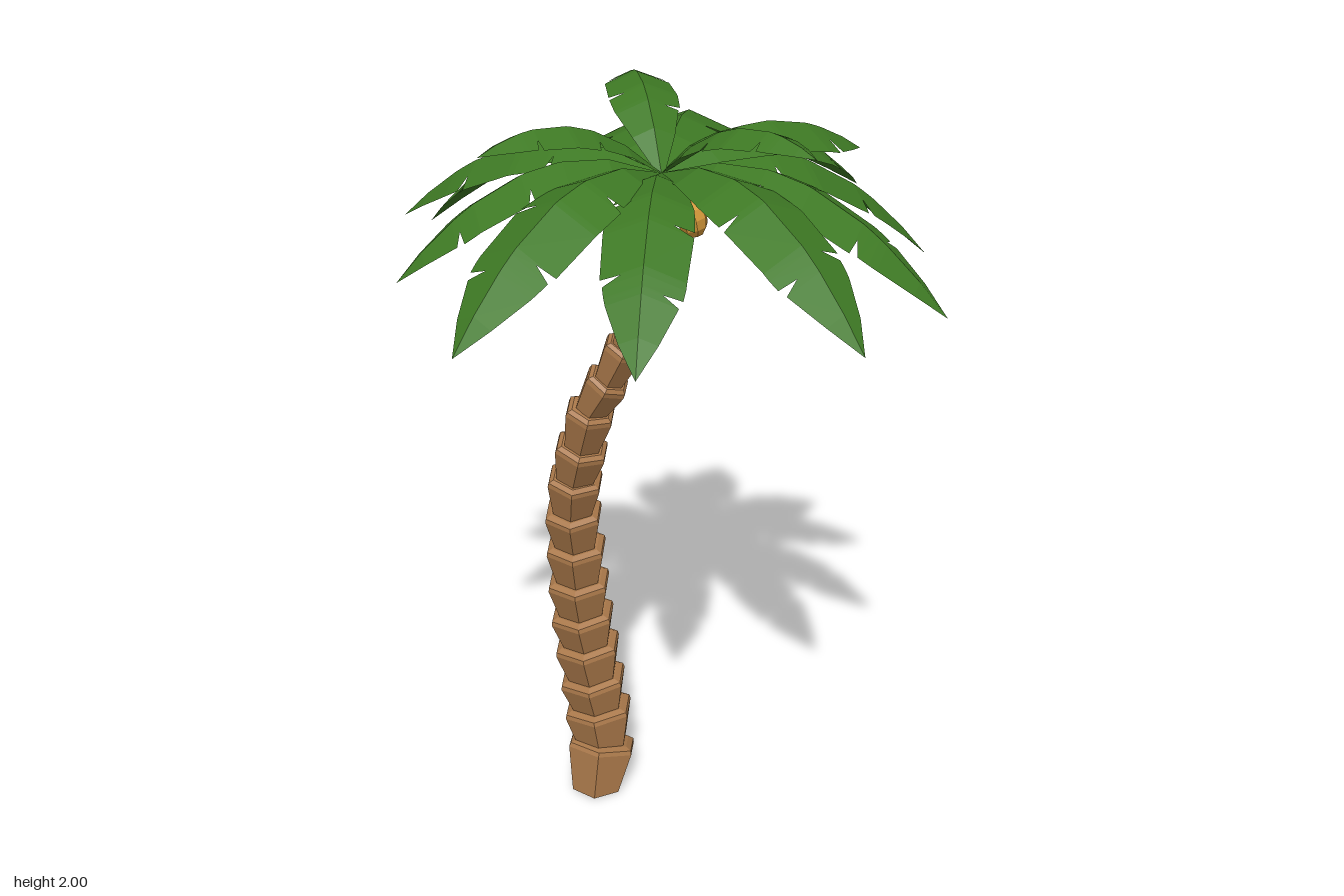
import * as THREE from 'three';

const bark = new THREE.MeshStandardMaterial({ color: 0xa9784a, flatShading: true });
bark.name = 'bark brown';
const leafGreen = new THREE.MeshStandardMaterial({ color: 0x3e7924, flatShading: true, side: THREE.DoubleSide });
leafGreen.name = 'leaf green';
const nutOrange = new THREE.MeshStandardMaterial({ color: 0xd6993a, flatShading: true });
nutOrange.name = 'coconut orange';

const CROWN = new THREE.Vector3(0, 1.85, -0.015);

// Trunk joints: x, y, z, lip radius of the segment ending there
const JOINTS = [
  [-0.24, 0, -0.065, 0.1], [-0.243, 0.128, -0.105, 0.102], [-0.258, 0.245, -0.108, 0.1],
  [-0.27, 0.348, -0.102, 0.097], [-0.28, 0.46, -0.094, 0.095], [-0.288, 0.562, -0.086, 0.092],
  [-0.29, 0.672, -0.076, 0.089], [-0.287, 0.787, -0.064, 0.085], [-0.28, 0.9, -0.045, 0.08],
  [-0.26, 1.01, -0.03, 0.076], [-0.23, 1.112, -0.02, 0.072], [-0.195, 1.225, -0.01, 0.066],
  [-0.142, 1.318, -0.01, 0.058], [-0.095, 1.415, -0.012, 0.053], [-0.055, 1.525, -0.015, 0.049],
  [-0.035, 1.622, -0.018, 0.046], [-0.018, 1.73, -0.018, 0.042], [0, 1.82, -0.015, 0.034],
];

// One flared trunk segment with a bevelled lip
function trunkSegment(i) {
  const a = new THREE.Vector3(...JOINTS[i]), b = new THREE.Vector3(...JOINTS[i + 1]);
  const r = JOINTS[i + 1][3], dir = b.clone().sub(a), len = dir.length();
  const profile = [[0, 0], [0.74 * r, 0], [r, len - 0.016], [0.97 * r, len - 0.004], [0.8 * r, len + 0.004], [0, len + 0.004]];
  const geo = new THREE.LatheGeometry(profile.map(p => new THREE.Vector2(...p)), 6);
  geo.rotateY(0.45);
  geo.applyQuaternion(new THREE.Quaternion().setFromUnitVectors(new THREE.Vector3(0, 1, 0), dir.normalize()));
  geo.translate(a.x, a.y, a.z);
  // Keep the foot flat on the ground
  const pos = geo.attributes.position;
  for (let k = 0; k < pos.count; k++) if (i === 0 && pos.getY(k) < 0.03) pos.setY(k, 0);
  return new THREE.Mesh(geo, bark);
}

// Frond rows: position along midrib, left width, right width; dips are torn notches
const ROWS = [
  [0, 0.1, 0.1], [0.2, 0.62, 0.6], [0.37, 0.92, 0.88], [0.375, 0.93, 0.5], [0.395, 0.95, 0.95],
  [0.5, 1, 1], [0.505, 0.55, 1], [0.525, 1, 1], [0.7, 0.93, 0.95], [0.705, 0.93, 0.5],
  [0.725, 0.92, 0.88], [0.76, 0.88, 0.83], [0.765, 0.45, 0.82], [0.785, 0.8, 0.78], [0.9, 0.43, 0.43], [1, 0, 0],
];

// Arching frond, folded along its midrib
function frond([x, y, z, halfWidth, arch], flip) {
  const tip = new THREE.Vector3(x, y, z);
  const control = CROWN.clone().lerp(tip, 0.5);
  control.y += arch;
  const curve = new THREE.QuadraticBezierCurve3(CROWN, control, tip);
  const side = new THREE.Vector3(x - CROWN.x, 0, z - CROWN.z).normalize().cross(new THREE.Vector3(0, 1, 0));
  const rows = ROWS.map(([t, wl, wr]) => {
    const mid = curve.getPoint(t);
    const edge = (w, s) => {
      const p = mid.clone().addScaledVector(side, s * w * halfWidth);
      p.y -= w * halfWidth * 0.4;
      return p;
    };
    return { mid, left: edge(flip ? wr : wl, -1), right: edge(flip ? wl : wr, 1) };
  });
  const pts = [];
  for (let i = 0; i + 1 < rows.length; i++) {
    const a = rows[i], b = rows[i + 1];
    pts.push(a.mid, a.right, b.mid, a.right, b.right, b.mid);
    pts.push(a.mid, b.mid, a.left, a.left, b.mid, b.left);
  }
  const geo = new THREE.BufferGeometry().setFromPoints(pts);
  geo.computeVertexNormals();
  return new THREE.Mesh(geo, leafGreen);
}

// Frond tips: x, y, z, half width, arch height
const FRONDS = [
  // drooping outer ring
  [0.665, 1.615, -0.09, 0.095, 0.27], [0.625, 1.65, 0.26, 0.105, 0.27], [0.245, 1.61, 0.51, 0.095, 0.25],
  [-0.105, 1.63, 0.64, 0.112, 0.27], [-0.425, 1.65, 0.41, 0.095, 0.25], [-0.595, 1.7, 0.155, 0.105, 0.24],
  [-0.67, 1.615, -0.035, 0.095, 0.27], [-0.43, 1.65, -0.445, 0.1, 0.25], [-0.215, 1.71, -0.64, 0.11, 0.24],
  [0.225, 1.7, -0.59, 0.105, 0.24], [0.45, 1.59, -0.5, 0.105, 0.27],
  // raised inner ring
  [0.265, 1.82, -0.5, 0.112, 0.18], [0.4, 1.955, 0.04, 0.07, 0.165],
  [-0.25, 1.935, 0.325, 0.07, 0.17], [-0.27, 1.965, -0.32, 0.08, 0.17],
];

const COCONUTS = [[-0.015, 1.745, 0.045], [0.065, 1.75, -0.04], [-0.025, 1.75, -0.07], [0.03, 1.79, -0.035]];

export function createModel() {
  const palm = new THREE.Group();
  palm.name = 'palmTree';
  const add = (name, meshes) => {
    const group = new THREE.Group();
    group.name = name;
    meshes.forEach((m, i) => { m.name = name + 'Part' + (i + 1); group.add(m); });
    palm.add(group);
  };

  add('trunk', JOINTS.slice(1).map((_, i) => trunkSegment(i)));
  add('fronds', FRONDS.map((f, i) => frond(f, i % 2 === 1)));

  // Egg-shaped nuts hanging under the crown
  const nut = new THREE.SphereGeometry(0.036, 8, 6).scale(1, 1.3, 1);
  add('coconuts', COCONUTS.map(([x, y, z]) => {
    const mesh = new THREE.Mesh(nut, nutOrange);
    mesh.position.set(x, y, z);
    mesh.rotation.set(-z * 3, 0, x * 3);
    return mesh;
  }));
  return palm;
}
